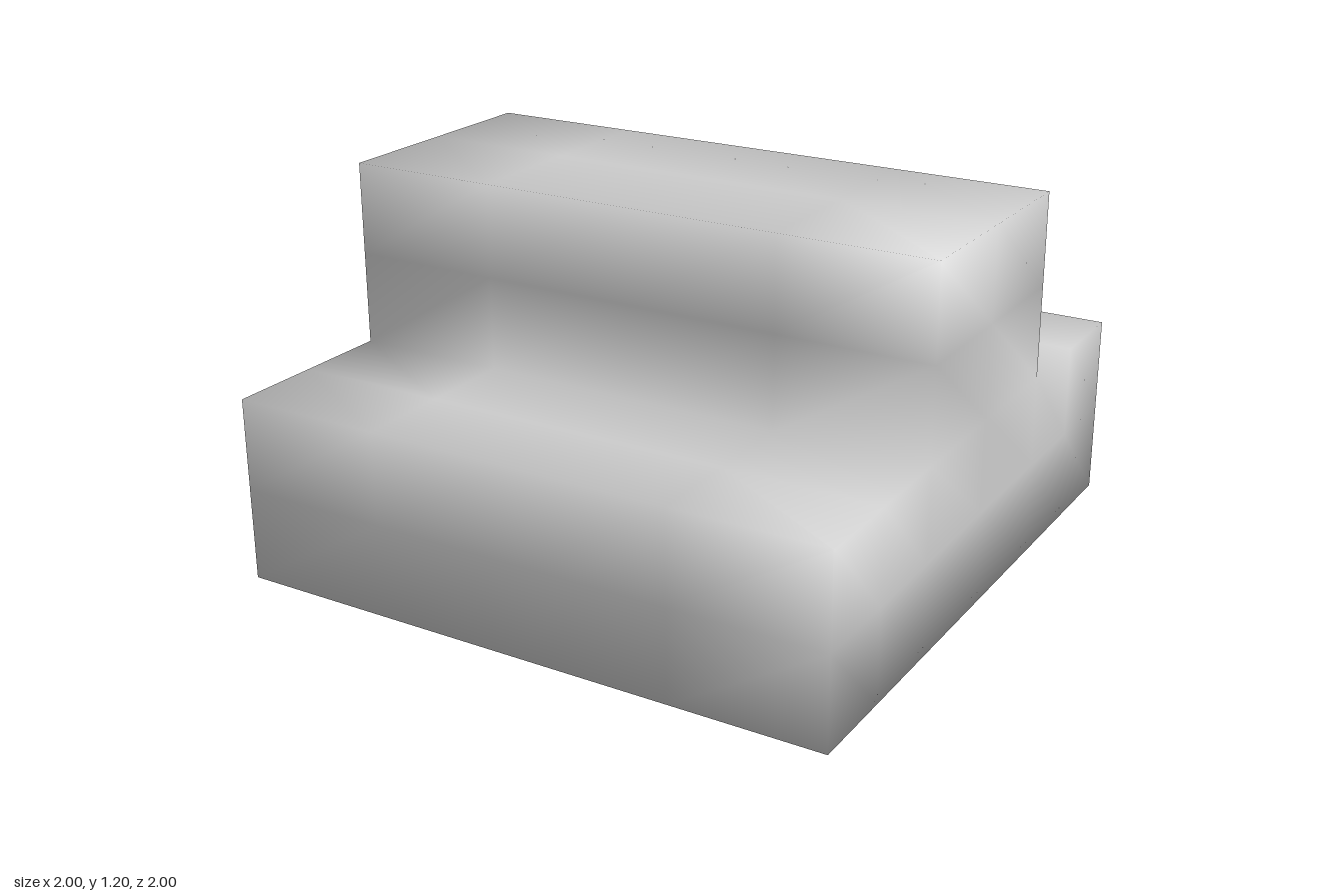
import * as THREE from 'three';
import { mergeVertices } from 'three/addons/utils/BufferGeometryUtils.js';

// Grid lines of the block along x, y and z
const LINES = [
  [-1, -0.5, 0, 0.5, 1],
  [0, 0.3, 0.6, 0.9, 1.2],
  [-1, -0.7, -0.4, 0, 0.4, 0.7, 1],
];

// A cell is solid in the wide lower step or the narrow upper step
function isSolid([i, j, k]) {
  if (i < 0 || i > 3 || j < 0 || j > 3 || k < 0 || k > 5) return false;
  return j < 2 || k === 2 || k === 3;
}

// Skin of all solid cells, welded so the shading runs softly over the edges
function steppedGeometry() {
  const positions = [];
  const addFace = (cell, axis, side) => {
    const u = (axis + 1) % 3, v = (axis + 2) % 3;
    const corners = [[0, 0], [1, 0], [1, 1], [0, 1]].map(([a, b]) => {
      const index = [...cell];
      index[axis] += side;
      index[u] += a;
      index[v] += b;
      return index.map((n, d) => LINES[d][n]);
    });
    if (side === 0) corners.reverse();
    for (const n of [0, 1, 2, 0, 2, 3]) positions.push(...corners[n]);
  };

  for (let i = 0; i < 4; i++) for (let j = 0; j < 4; j++) for (let k = 0; k < 6; k++) {
    const cell = [i, j, k];
    if (!isSolid(cell)) continue;
    for (let axis = 0; axis < 3; axis++) for (const side of [0, 1]) {
      const neighbour = [...cell];
      neighbour[axis] += side ? 1 : -1;
      if (!isSolid(neighbour)) addFace(cell, axis, side);
    }
  }

  const raw = new THREE.BufferGeometry();
  raw.setAttribute('position', new THREE.Float32BufferAttribute(positions, 3));
  const geometry = mergeVertices(raw);
  geometry.computeVertexNormals();
  return geometry;
}

export function createModel() {
  const group = new THREE.Group();
  group.name = 'doubleSidedSteps';
  const block = new THREE.Mesh(
    steppedGeometry(),
    new THREE.MeshStandardMaterial({ color: 0xcccccc })
  );
  block.name = 'steppedBlock';
  group.add(block);
  return group;
}
